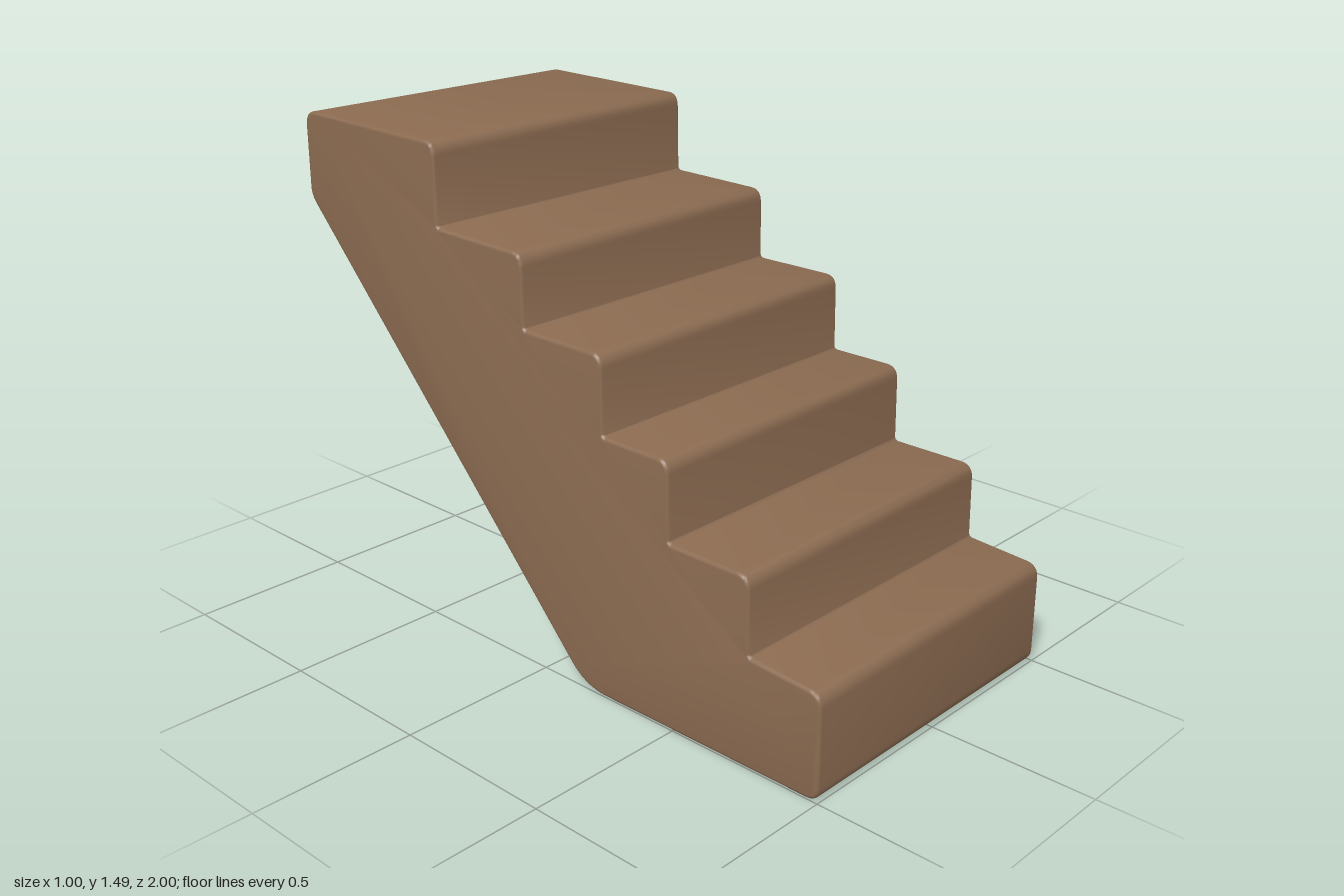
import * as THREE from 'three';
import { toCreasedNormals } from 'three/addons/utils/BufferGeometryUtils.js';

// Closed outline whose corners [z, y, radius] are rounded off
function roundedOutline(corners) {
  const shape = new THREE.Shape();
  const n = corners.length;
  corners.forEach(([x, y, r], i) => {
    const p = new THREE.Vector2(x, y);
    const towards = (c) => new THREE.Vector2(c[0], c[1]).sub(p).setLength(r).add(p);
    const a = towards(corners[(i + n - 1) % n]);
    const b = towards(corners[(i + 1) % n]);
    if (i === 0) shape.moveTo(a.x, a.y);
    else shape.lineTo(a.x, a.y);
    shape.quadraticCurveTo(x, y, b.x, b.y);
  });
  shape.closePath();
  return shape;
}

export function createModel() {
  const brown = new THREE.MeshStandardMaterial({ color: 0x8a6a50 });
  brown.name = 'brown';

  // Steps from the top down: riser z, tread height at its back and at its nose
  const steps = [
    [-0.41, 1.49, 1.48],
    [-0.06, 1.237, 1.23],
    [0.24, 1.015, 1.015],
    [0.48, 0.785, 0.785],
    [0.76, 0.552, 0.552],
    [1.0, 0.325, 0.31],
  ];

  // Side profile: flat base, sloping underside, short back, then the steps
  const corners = [
    [1.0, 0, 0.04],
    [0.16, 0, 0.08],
    [-0.4, 0.595, 0.05],
    [-1.0, 1.23, 0.03],
    [-1.0, 1.49, 0.045],
  ];
  steps.forEach(([z, back, nose], i) => {
    if (i > 0) corners.push([steps[i - 1][0] + 0.004, back, 0.012]);
    corners.push([z, nose, 0.04]);
  });

  // Extrude across the width with softly rounded side edges
  const bevel = 0.01;
  const width = 1.0;
  const geometry = new THREE.ExtrudeGeometry(roundedOutline(corners.reverse()), {
    depth: width - 2 * bevel,
    curveSegments: 6,
    bevelEnabled: true,
    bevelThickness: bevel,
    bevelSize: bevel,
    bevelOffset: -bevel,
    bevelSegments: 3,
  });
  geometry.translate(0, 0, bevel - width / 2);
  geometry.rotateY(-Math.PI / 2);

  const staircase = new THREE.Mesh(toCreasedNormals(geometry, 0.7), brown);
  staircase.name = 'staircase';

  const model = new THREE.Group();
  model.name = 'stairs';
  model.add(staircase);
  return model;
}
